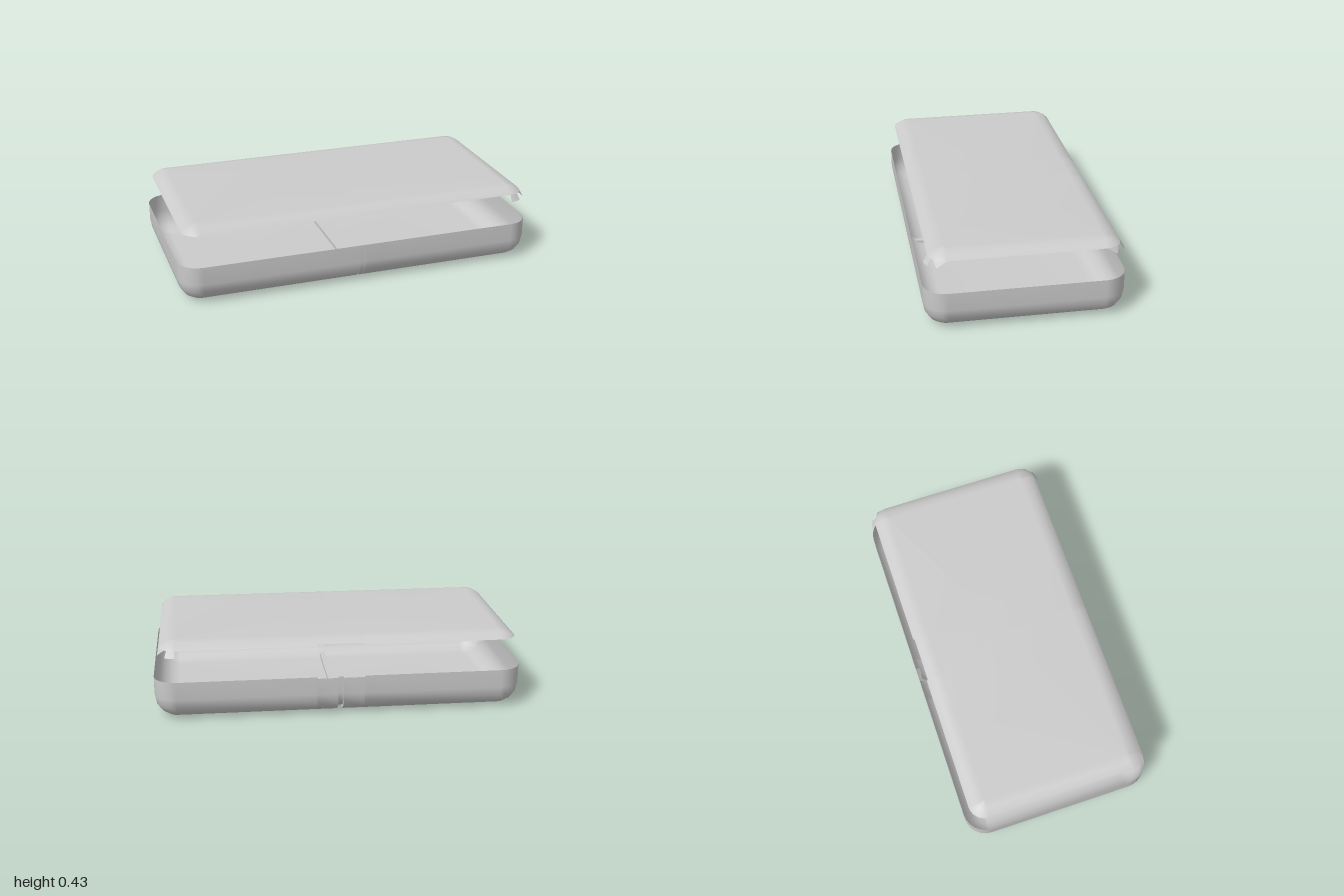
import * as THREE from 'three';

const R = 0.12;               // fillet and corner radius
const CX = 0.88, CZ = 0.405;  // corner centres
const GAP = 0.015;            // half width of the cable channel
const RIM = 0.22, LID = 0.425;
const NOTCH = 0.125;          // half width of the notch at the back
const rad = THREE.MathUtils.degToRad;
const material = new THREE.MeshStandardMaterial({ color: 0xcccccc, side: THREE.DoubleSide });

// Surface through rows of points
function loft(name, rows, closed = false) {
  const n = rows[0].length, index = [];
  for (let j = 0; j < rows.length - 1; j++) {
    for (let i = 0; i < (closed ? n : n - 1); i++) {
      const k = (i + 1) % n;
      const a = j * n + i, b = a + n, c = (j + 1) * n + k, d = j * n + k;
      index.push(a, b, c, a, c, d);
    }
  }
  const g = new THREE.BufferGeometry();
  g.setAttribute('position', new THREE.Float32BufferAttribute(rows.flat(2), 3));
  g.setIndex(index);
  g.computeVertexNormals();
  const mesh = new THREE.Mesh(g, material);
  mesh.name = name;
  return mesh;
}

// Half outline, front centre round +x to back centre: core point plus outward direction
function halfOutline() {
  const pts = [{ x: GAP, z: CZ, nx: 0, nz: 1 }];
  for (const [z, start] of [[CZ, 0], [-CZ, 90]]) {
    for (let a = 0; a <= 90; a += 15) {
      const t = rad(start + a);
      pts.push({ x: CX, z, nx: Math.sin(t), nz: Math.cos(t) });
    }
  }
  for (const x of [NOTCH + 0.006, NOTCH, GAP]) pts.push({ x, z: -CZ, nx: 0, nz: -1 });
  return pts;
}
const mirrored = pts => pts.map(p => ({ ...p, x: -p.x, nx: -p.nx })).reverse();
const inNotch = p => p.nz === -1 && Math.abs(p.x) <= NOTCH;
const offset = (p, d, y) => [p.x + p.nx * d, y, p.z + p.nz * d];

// Point on the lid's rounded edge, at an angle from straight up
const lidPoint = (p, deg) => offset(p, R * Math.sin(rad(deg)), LID - R + R * Math.cos(rad(deg)));

function buildTray() {
  const tray = new THREE.Group();
  tray.name = 'tray';
  const right = halfOutline();
  for (const [name, pts, side] of [['rightHalf', mirrored(right), -1], ['leftHalf', right, 1]]) {
    const rows = [pts.map(p => offset(p, R, inNotch(p) ? RIM - 0.008 : RIM))];
    for (let a = 0; a <= 90; a += 22.5) {
      const t = rad(a);
      rows.push(pts.map(p => offset(p, R * Math.cos(t), R - R * Math.sin(t))));
    }
    rows.push(pts.map(() => [side * GAP, 0, 0]));
    tray.add(loft(name, rows));
  }

  // Channel along the floor and up the back wall, between the two halves
  const depth = 0.02;
  const outer = [[CZ + R, RIM]], inner = [[CZ + R, RIM]];
  for (const a of [0, 22.5, 45, 56.4, 67.5, 90]) {
    const z = CZ + R * Math.cos(rad(a)), y = R - R * Math.sin(rad(a));
    outer.push([z, y]);
    inner.push([z, Math.max(y, depth)]);
  }
  for (const a of [90, 67.5, 45, 22.5, 0]) {
    const c = Math.cos(rad(a)), s = Math.sin(rad(a));
    outer.push([-CZ - R * c, R - R * s]);
    inner.push([-CZ - (R - depth) * c, R - (R - depth) * s]);
  }
  outer.push([-CZ - R, RIM - 0.008]);
  inner.push([-CZ - R + depth, RIM - 0.008]);
  const place = (profile, x) => profile.map(([z, y]) => [x, y, z]);
  tray.add(loft('channelBed', [place(inner, -GAP), place(inner, GAP)]));
  tray.add(loft('channelRightWall', [place(outer, -GAP), place(inner, -GAP)]));
  tray.add(loft('channelLeftWall', [place(inner, GAP), place(outer, GAP)]));
  return tray;
}

function buildLid() {
  const lid = new THREE.Group();
  lid.name = 'lid';
  const half = halfOutline();
  const pts = [...half, ...mirrored(half)];
  const EDGE = 48, TIP = 67.5;
  const rows = [pts.map(() => [0, LID, 0])];
  for (const a of [0, 22.5, 40]) rows.push(pts.map(p => lidPoint(p, a)));
  rows.push(pts.map(p => lidPoint(p, inNotch(p) ? 43 : EDGE)));
  lid.add(loft('lidShell', rows, true));

  // Small clips hanging from the two corners at the +x end
  for (const s of [1, -1]) {
    const at = deg => ({ x: CX, z: s * CZ, nx: Math.sin(rad(deg)), nz: s * Math.cos(rad(deg)) });
    const strip = (name, ends) => {
      const edge = ends.map(([a]) => lidPoint(at(a), EDGE));
      const tip = ends.map(([a, low]) => lidPoint(at(a), low));
      lid.add(loft(name, s > 0 ? [edge, tip] : [tip, edge]));
    };
    strip('endClip', [[0, TIP], [15, TIP], [30, TIP]]);
    strip('cornerClip', [[40, EDGE], [60, 66], [90, EDGE]]);
  }
  return lid;
}

export function createModel() {
  const model = new THREE.Group();
  model.name = 'openCase';
  model.add(buildTray(), buildLid());
  return model;
}
